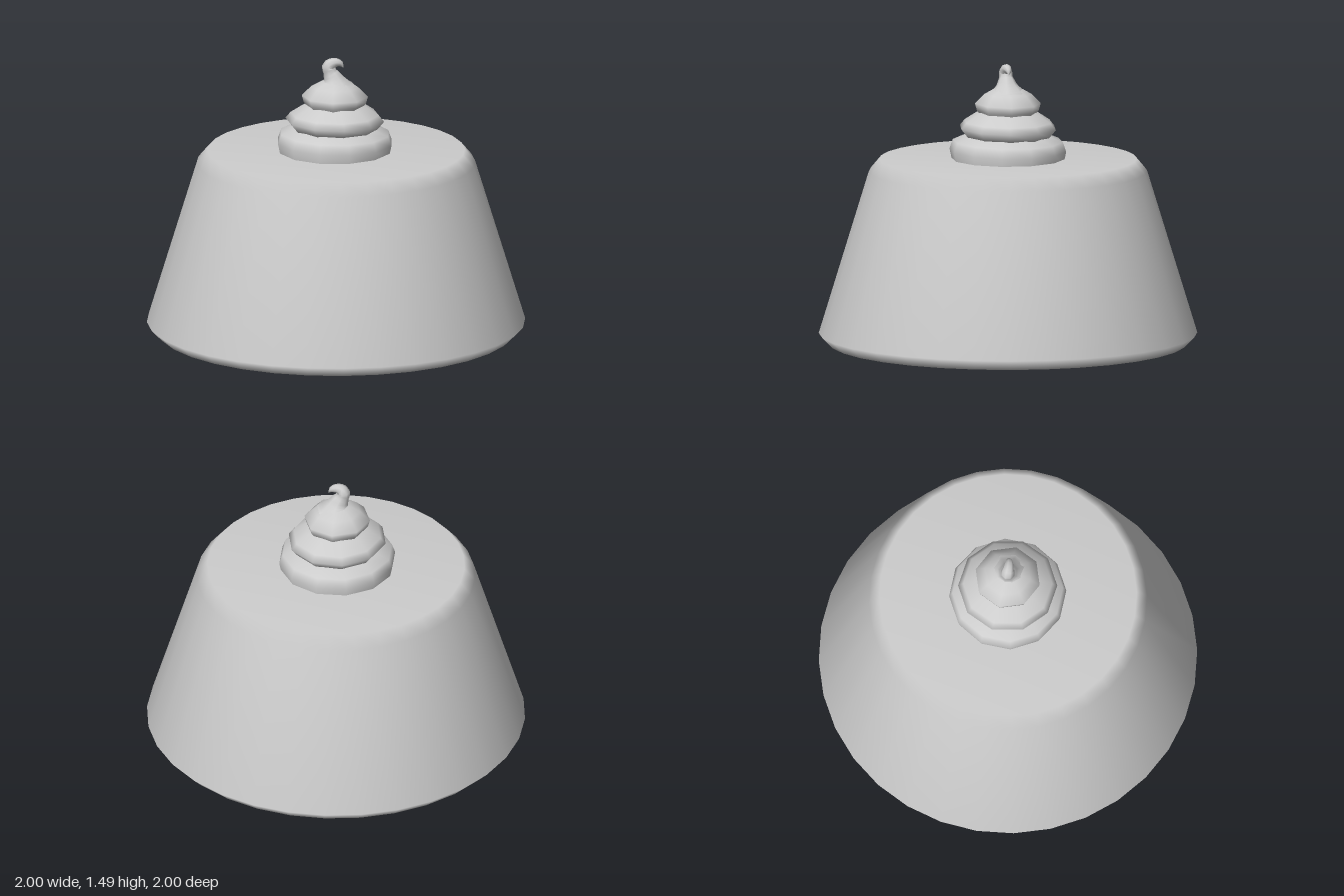
import * as THREE from 'three';
import { mergeVertices } from 'three/addons/utils/BufferGeometryUtils.js';

const grey = new THREE.MeshStandardMaterial({ color: 0xcccccc });
grey.name = 'plain grey';

function part(name, geometry) {
  const mesh = new THREE.Mesh(geometry, grey);
  mesh.name = name;
  return mesh;
}

function lathe(profile, sides) {
  return new THREE.LatheGeometry(profile.map(([r, y]) => new THREE.Vector2(r, y)), sides);
}

// Curled tip: a tube along a hook, tapered ring by ring
function curledTip() {
  const path = new THREE.CatmullRomCurve3([
    [-0.005, 1.32, 0], [-0.015, 1.375, -0.005], [-0.03, 1.415, -0.015], [-0.035, 1.443, -0.018],
    [-0.01, 1.463, 0], [0.018, 1.457, 0.015], [0.03, 1.435, 0.025],
  ].map((p) => new THREE.Vector3(...p)));
  const radii = [0.11, 0.055, 0.036, 0.036, 0.026, 0.017, 0.001];
  const rings = 18, sides = 8;
  const geometry = new THREE.TubeGeometry(path, rings, 1, sides);
  const pos = geometry.attributes.position;
  const v = new THREE.Vector3();
  for (let i = 0; i <= rings; i++) {
    const u = i / rings;
    const centre = path.getPointAt(u);
    const t = path.getUtoTmapping(u) * (radii.length - 1);
    const k = Math.min(Math.floor(t), radii.length - 2);
    const radius = THREE.MathUtils.lerp(radii[k], radii[k + 1], t - k);
    for (let j = 0; j <= sides; j++) {
      const n = i * (sides + 1) + j;
      v.fromBufferAttribute(pos, n).sub(centre).multiplyScalar(radius).add(centre);
      pos.setXYZ(n, v.x, v.y, v.z);
    }
  }
  // weld the seam for smooth shading
  geometry.deleteAttribute('uv');
  geometry.deleteAttribute('normal');
  const welded = mergeVertices(geometry, 1e-5);
  welded.computeVertexNormals();
  return welded;
}

export function createModel() {
  const model = new THREE.Group();
  model.name = 'pudding';

  // Tapered body with softened rims
  model.add(part('puddingBody', lathe([
    [0, 0], [0.945, 0], [1, 0.055], [0.735, 0.92], [0.68, 0.985], [0, 0.985],
  ], 32)));

  // Whipped cream: three shrinking tiers, each leaning slightly like a swirl
  const cream = new THREE.Group();
  cream.name = 'whippedCream';
  const tiers = [
    { sides: 12, turn: 0.15, profile: [[0.295, 0.96], [0.31, 1.03], [0.292, 1.08], [0.22, 1.108], [0.15, 1.13]] },
    { sides: 10, turn: 0.2, profile: [[0.2, 1.08], [0.23, 1.11], [0.262, 1.15], [0.235, 1.183], [0.17, 1.225], [0.1, 1.25]] },
    { sides: 8, turn: 0.1, profile: [[0.14, 1.21], [0.165, 1.243], [0.175, 1.28], [0.125, 1.33], [0.08, 1.355], [0, 1.385]] },
  ];
  tiers.forEach(({ sides, turn, profile }, i) => {
    const geometry = lathe(profile, sides).rotateY(turn);
    const pos = geometry.attributes.position;
    for (let n = 0; n < pos.count; n++) pos.setY(n, pos.getY(n) - 0.02 * pos.getX(n));
    geometry.translate(-0.005, 0, -0.004);
    cream.add(part('creamTier' + (i + 1), geometry));
  });
  cream.add(part('creamTip', curledTip()));
  model.add(cream);

  return model;
}
